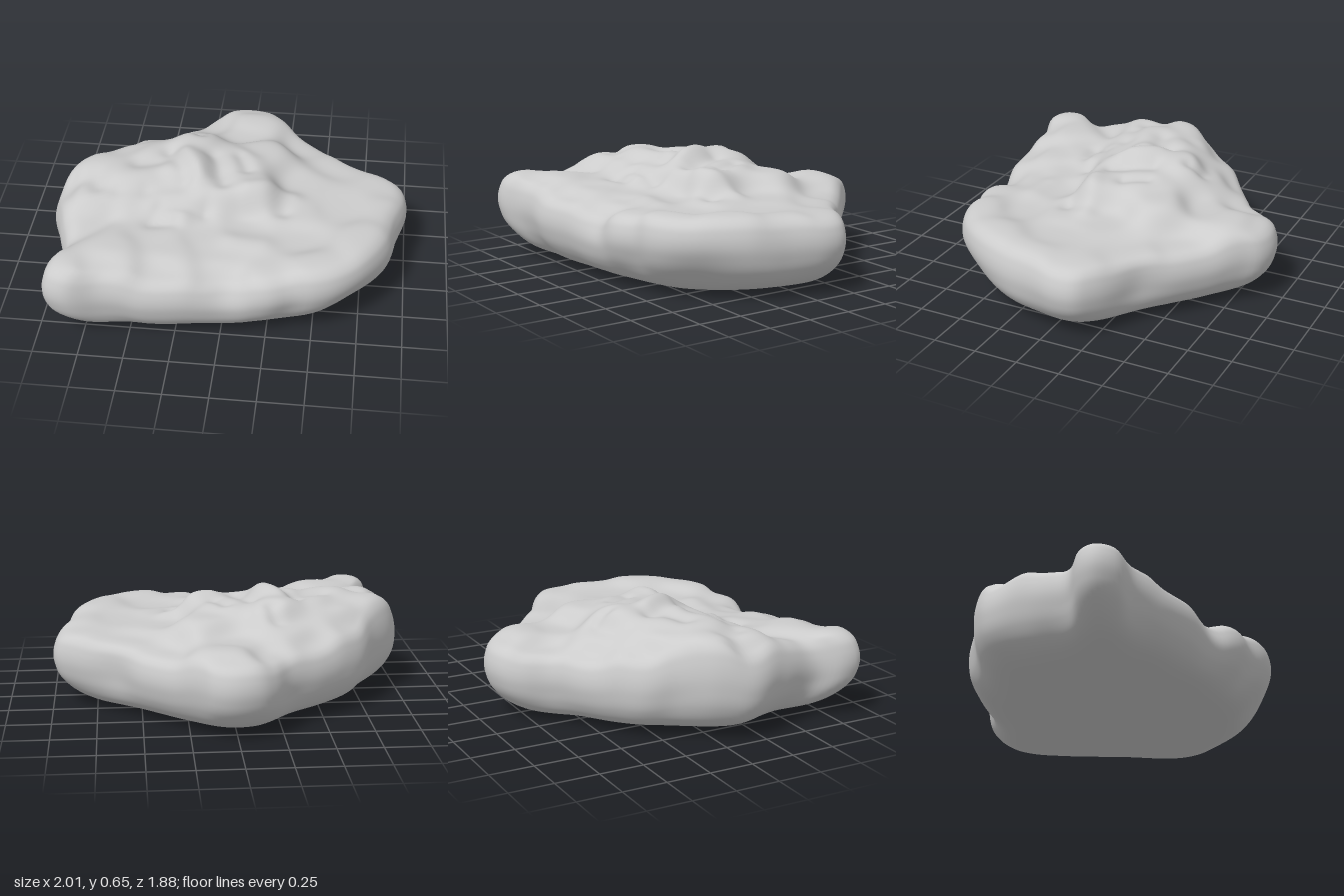
import * as THREE from 'three';
import { mergeVertices } from 'three/addons/utils/BufferGeometryUtils.js';

// widest outline of the slab, clockwise from the back tip: x, z
const OUTLINE = [
  [0.02, -0.94], [0.13, -0.91], [0.21, -0.83], [0.45, -0.61], [0.65, -0.44], [0.9, -0.27],
  [0.98, -0.19], [0.995, -0.07], [0.94, 0.14], [0.9, 0.36], [0.78, 0.58], [0.65, 0.7],
  [0.52, 0.755], [0.39, 0.765], [0.25, 0.81], [0, 0.815], [-0.2, 0.86], [-0.4, 0.885],
  [-0.65, 0.89], [-0.82, 0.94], [-0.935, 0.89], [-0.95, 0.79], [-0.885, 0.63], [-0.94, 0.4],
  [-1, 0.17], [-0.95, -0.03], [-0.82, -0.2], [-0.72, -0.37], [-0.5, -0.56], [-0.3, -0.7],
  [-0.2, -0.84], [-0.12, -0.91],
];

// section from bottom centre, round the rim, to top centre: radius factor, height factor
const SECTION = [
  [0, 0], [0.3, 0], [0.55, 0.008], [0.72, 0.04], [0.83, 0.1], [0.9, 0.19], [0.96, 0.35], [0.99, 0.52],
  [1, 0.66], [0.99, 0.8], [0.965, 0.91], [0.92, 0.975], [0.85, 1], [0.65, 1], [0.45, 1], [0.22, 1], [0, 1],
];

// heights of the top surface: x, z, y
const HEIGHTS = [
  [-0.86, 0.86, 0.5], [-0.6, 0.65, 0.5], [-0.6, 0.83, 0.46], [-0.3, 0.6, 0.46], [-0.3, 0.8, 0.41],
  [0, 0.58, 0.42], [0.03, 0.75, 0.37], [0.25, 0.7, 0.43], [0.5, 0.64, 0.46], [0.78, 0.4, 0.47],
  [0.9, 0.1, 0.45], [0.92, -0.13, 0.43], [0.6, -0.37, 0.41], [0.4, -0.55, 0.39], [0.04, -0.7, 0.47],
  [0.03, -0.88, 0.43], [-0.2, -0.7, 0.4], [-0.42, -0.53, 0.4], [-0.68, -0.33, 0.45], [-0.82, 0.02, 0.58],
  [-0.95, 0.17, 0.48], [-0.8, 0.22, 0.56], [-0.76, 0.46, 0.49], [-0.6, 0.08, 0.6], [-0.5, -0.12, 0.6],
  [-0.42, 0.46, 0.47], [-0.32, 0.24, 0.54], [-0.25, 0, 0.64], [-0.28, -0.28, 0.63], [-0.05, 0.1, 0.57],
  [0, -0.15, 0.58], [0.12, 0.09, 0.57], [0.1, 0.35, 0.42], [0.37, 0.16, 0.45], [0.38, -0.05, 0.44],
  [0.12, -0.3, 0.54], [0.02, -0.52, 0.45], [0.6, 0.1, 0.43], [0.4, 0.42, 0.42], [-0.12, 0.45, 0.44],
  [-0.35, -0.42, 0.5], [-0.62, -0.2, 0.56],
];

// ridges (+) and creases (-): from x, z to x, z, height, width
const CREASES = [
  [-0.3, -0.1, -0.18, 0.1, 0.02, 0.06], [-0.38, -0.12, -0.26, 0.1, -0.035, 0.055],
  [-0.14, -0.12, -0.05, 0.1, -0.025, 0.055], [-0.24, -0.38, -0.23, -0.32, -0.03, 0.045],
  [0.02, -0.16, 0.07, -0.04, -0.02, 0.045], [-0.38, 0.3, -0.15, 0.28, -0.03, 0.045],
  [-0.1, 0.25, 0.3, 0.2, -0.02, 0.05], [0.1, 0.13, 0.34, 0.06, 0.02, 0.06],
  [-0.42, 0.39, -0.3, 0.38, -0.025, 0.05], [-0.85, 0.62, -0.65, 0.4, -0.03, 0.07],
  [-0.55, 0, -0.45, -0.03, -0.025, 0.06], [-0.62, 0.22, -0.5, 0.2, -0.025, 0.06],
  [-0.8, 0.1, -0.75, 0.2, -0.02, 0.06], [0.05, 0.46, 0.2, 0.48, 0.02, 0.08],
];

// hollows (+) and bulges (-) in the side wall: x, y, z, depth as a share of radius, width
const HOLLOWS = [
  [0.05, 0.35, 0.8, 0.03, 0.1], [0.7, 0.06, 0.58, 0.07, 0.22], [0.35, 0.08, 0.7, 0.03, 0.2],
  [0.68, 0.25, -0.42, 0.04, 0.14], [0.95, 0.1, 0.2, -0.02, 0.15], [0.3, 0.3, 0.8, -0.01, 0.12],
  [-0.88, 0.08, 0.1, -0.05, 0.25], [-0.65, 0.08, -0.35, -0.03, 0.2],
];

function topHeight(x, z) {
  let sum = 0, weight = 0;
  for (const [px, pz, h] of HEIGHTS) {
    const w = 1 / ((x - px) ** 2 + (z - pz) ** 2 + 0.012) ** 2.5;
    sum += w * h;
    weight += w;
  }
  let y = sum / weight;
  for (const [ax, az, bx, bz, h, width] of CREASES) {
    const dx = bx - ax, dz = bz - az;
    const t = THREE.MathUtils.clamp(((x - ax) * dx + (z - az) * dz) / (dx * dx + dz * dz), 0, 1);
    const d2 = (x - ax - t * dx) ** 2 + (z - az - t * dz) ** 2;
    y += h * Math.exp(-d2 / (width * width));
  }
  return y;
}

function wallScale(x, y, z) {
  let scale = 1;
  for (const [px, py, pz, depth, width] of HOLLOWS) {
    const d2 = (x - px) ** 2 + (y - py) ** 2 + (z - pz) ** 2;
    scale -= depth * Math.exp(-d2 / (width * width));
  }
  return scale;
}

// rounds off the tips and notches of a closed outline
function smoothOutline(points, reach) {
  return points.map((_, i) => {
    const mean = new THREE.Vector3();
    for (let k = -reach; k <= reach; k++) mean.add(points[(i + k + points.length) % points.length]);
    return mean.divideScalar(2 * reach + 1);
  });
}

function rockGeometry(around = 200, rows = 130) {
  const rim = new THREE.CatmullRomCurve3(
    OUTLINE.map(([x, z]) => new THREE.Vector3(x, 0, z)), true).getSpacedPoints(around).slice(0, around);
  const foot = smoothOutline(rim, 6);
  const section = new THREE.CatmullRomCurve3(
    SECTION.map(([s, f]) => new THREE.Vector3(s, f, 0))).getSpacedPoints(rows);
  const positions = [], indices = [];

  section.forEach(({ x: s, y: f }, j) => {
    const rise = THREE.MathUtils.smoothstep(f, 0.02, 0.5);
    for (let i = 0; i < around; i++) {
      const { x, z } = foot[i].clone().lerp(rim[i], rise);
      const inner = Math.min(s, 0.92);
      const y = Math.max(0, f) * topHeight(x * inner, z * inner);
      const r = s * wallScale(x * s, y, z * s);
      positions.push(x * r, y, z * r);
      if (j === rows) continue;
      const a = j * around + i, b = j * around + (i + 1) % around;
      const c = a + around, d = b + around;
      // one triangle per step at the poles, two elsewhere
      if (j < rows - 1) indices.push(a, c, d);
      if (j > 0) indices.push(a, j < rows - 1 ? d : c, b);
    }
  });

  const geometry = new THREE.BufferGeometry();
  geometry.setAttribute('position', new THREE.Float32BufferAttribute(positions, 3));
  geometry.setIndex(indices);
  const merged = mergeVertices(geometry, 1e-5);
  merged.computeVertexNormals();
  return merged;
}

export function createModel() {
  const model = new THREE.Group();
  model.name = 'flatRock';
  const rock = new THREE.Mesh(rockGeometry(), new THREE.MeshStandardMaterial({ color: 0xcccccc }));
  rock.name = 'rockSlab';
  model.add(rock);
  return model;
}
